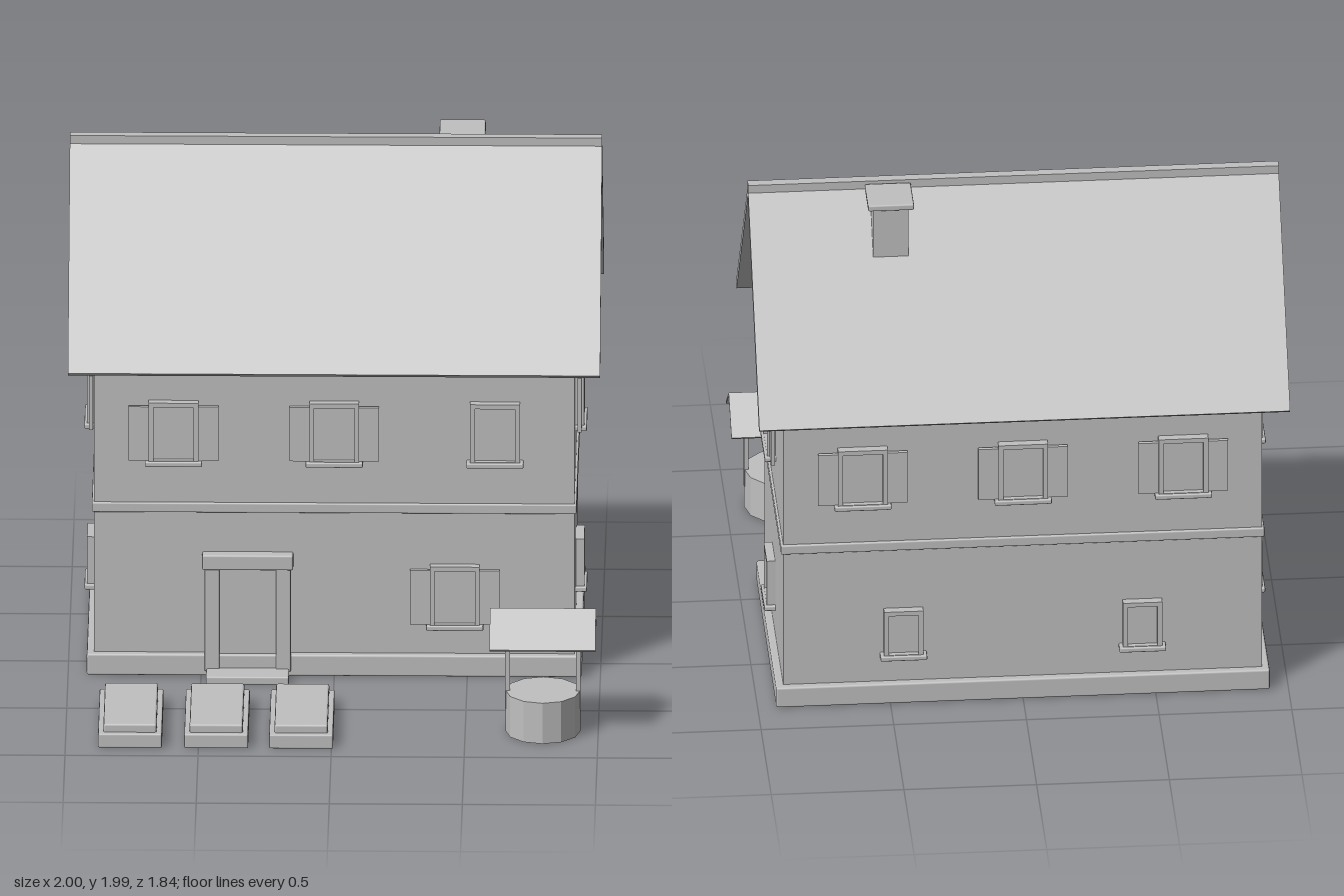
import * as THREE from 'three';
import { RoundedBoxGeometry } from 'three/addons/geometries/RoundedBoxGeometry.js';

const plaster = new THREE.MeshStandardMaterial({ color: 0xc0c0c0 });
plaster.name = 'plain grey';

function mesh(name, geometry, parent, x = 0, y = 0, z = 0) {
  const m = new THREE.Mesh(geometry, plaster);
  m.name = name;
  m.position.set(x, y, z);
  parent.add(m);
  return m;
}

// Box given by its limits; a bevel above zero softens the edges
function block(name, parent, [x0, x1], [y0, y1], [z0, z1], bevel = 0) {
  const size = [x1 - x0, y1 - y0, z1 - z0];
  const g = bevel ? new RoundedBoxGeometry(...size, 1, bevel) : new THREE.BoxGeometry(...size);
  return mesh(name, g, parent, (x0 + x1) / 2, (y0 + y1) / 2, (z0 + z1) / 2);
}

function polygon(points) {
  return new THREE.Shape(points.map(([x, y]) => new THREE.Vector2(x, y)));
}

// Profile drawn in z and y, extruded along x and centred on it
function alongX(points, length) {
  const g = new THREE.ExtrudeGeometry(polygon(points), { depth: length, bevelEnabled: false });
  g.translate(0, 0, -length / 2);
  g.rotateY(-Math.PI / 2);
  return g;
}

// Framed window standing on a wall plane at z = 0, y is its lower edge
function addWindow(wall, x, y, w, h, shutters) {
  const win = new THREE.Group();
  win.name = 'window';
  win.position.set(x, y, 0);
  wall.add(win);
  const a = w / 2, bar = 0.018;
  const outline = polygon([[-a, 0], [a, 0], [a, h], [-a, h]]);
  const i = a - bar;
  outline.holes.push(new THREE.Path([[-i, 0.004], [-i, h - bar], [i, h - bar], [i, 0.004]]
    .map(([u, v]) => new THREE.Vector2(u, v))));
  mesh('windowFrame', new THREE.ExtrudeGeometry(outline, { depth: 0.032, bevelEnabled: false }), win);
  block('windowPane', win, [-i, i], [0, h - bar], [0, 0.012]);
  block('windowSill', win, [-a - 0.014, a + 0.014], [-0.018, 0.002], [-0.005, 0.042], 0.005);
  if (shutters) {
    for (const s of [-1, 1]) {
      const edges = [s * (a - 0.004), s * (a + 0.075)].sort((p, q) => p - q);
      block('shutter', win, edges, [0.002, h - 0.018], [0.008, 0.023]);
    }
  }
}

export function createModel() {
  const model = new THREE.Group();
  model.name = 'house with well';
  const house = new THREE.Group();
  house.name = 'house';
  house.position.z = -0.345;
  model.add(house);

  // Walls, plinth and string course
  const W = 0.902, D = 0.467;
  block('plinth', house, [-0.93, 0.93], [0, 0.085], [-0.495, 0.495], 0.008);
  block('lowerWalls', house, [-W, W], [0.08, 0.64], [-D, D]);
  block('upperWalls', house, [-W, W], [0.64, 1.235], [-D, D]);
  block('stringCourse', house, [-0.911, 0.911], [0.648, 0.687], [-0.477, 0.477], 0.006);

  // Gables at both ends, with the attic open between them
  for (const s of [-1, 1]) {
    mesh('gable', alongX([[-D, 1.235], [D, 1.235], [0, 1.838]], 0.02), house, s * (W - 0.01));
  }

  // Roof, ridge and chimney
  mesh('roof', alongX([[0.576, 1.243], [0, 1.978], [-0.576, 1.243],
    [-0.552, 1.226], [0, 1.93], [0.552, 1.226]], 2), house);
  block('ridgeCap', house, [-1, 1], [1.955, 1.988], [-0.019, 0.019]);
  block('chimney', house, [0.408, 0.541], [1.3, 1.96], [-0.179, -0.047]);
  block('chimneyCap', house, [0.388, 0.561], [1.955, 1.98], [-0.197, -0.024], 0.006);

  // Windows on the four walls
  const walls = [0, 1, 2, 3].map((k) => {
    const pivot = new THREE.Group();
    pivot.name = ['frontWall', 'leftWall', 'backWall', 'rightWall'][k];
    pivot.rotation.y = k * Math.PI / 2;
    house.add(pivot);
    const face = new THREE.Group();
    face.name = pivot.name + 'Details';
    face.position.z = k % 2 ? W : D;
    pivot.add(face);
    return face;
  });
  const [front, left, back, right] = walls;
  for (const x of [-0.604, 0, 0.604]) {
    addWindow(front, x, 0.86, 0.187, 0.236, x < 0.5);
    addWindow(back, x, 0.86, 0.187, 0.236, true);
  }
  addWindow(front, 0.453, 0.207, 0.187, 0.236, true);
  for (const x of [-0.45, 0.45]) addWindow(back, x, 0.207, 0.148, 0.19, false);
  for (const end of [left, right]) {
    addWindow(end, 0, 0.86, 0.187, 0.236, true);
    addWindow(end, 0, 0.207, 0.148, 0.19, false);
  }

  // Door with jambs, lintel and step
  const door = new THREE.Group();
  door.name = 'door';
  door.position.x = -0.325;
  front.add(door);
  block('doorLeaf', door, [-0.106, 0.106], [0.03, 0.42], [0, 0.014]);
  for (const s of [-1, 1]) {
    block('doorJamb', door, [s * 0.134 - 0.028, s * 0.134 + 0.028], [0.02, 0.435], [-0.005, 0.036], 0.005);
  }
  block('doorLintel', door, [-0.171, 0.171], [0.43, 0.49], [-0.005, 0.046], 0.007);
  block('doorStep', door, [-0.156, 0.156], [0, 0.032], [0, 0.124], 0.006);

  // Three two-tier stone slabs in the yard
  for (const x of [-0.757, -0.433, -0.114]) {
    const slab = new THREE.Group();
    slab.name = 'stoneSlab';
    slab.position.set(x, 0, 0.677);
    model.add(slab);
    block('slabBase', slab, [-0.12, 0.12], [0, 0.056], [-0.243, 0.243], 0.006);
    block('slabTop', slab, [-0.1, 0.1], [0.05, 0.088], [-0.223, 0.223], 0.008);
  }

  // Well with faceted drum, posts, crossbar and small roof
  const well = new THREE.Group();
  well.name = 'well';
  well.position.set(0.792, 0, 0.713);
  model.add(well);
  const drum = new THREE.CylinderGeometry(0.141, 0.141, 0.163, 12).toNonIndexed();
  drum.computeVertexNormals();
  mesh('wellDrum', drum, well, 0, 0.0815, 0);
  for (const s of [-1, 1]) {
    block('wellPost', well, [s * 0.133 - 0.009, s * 0.133 + 0.009], [0.09, 0.368], [-0.009, 0.009]);
  }
  block('wellCrossbar', well, [-0.15, 0.15], [0.346, 0.364], [-0.009, 0.009]);
  mesh('wellRoof', alongX([[0.142, 0.376], [0, 0.492], [-0.142, 0.376],
    [-0.137, 0.369], [0, 0.481], [0.137, 0.369]], 0.398), well);

  return model;
}
